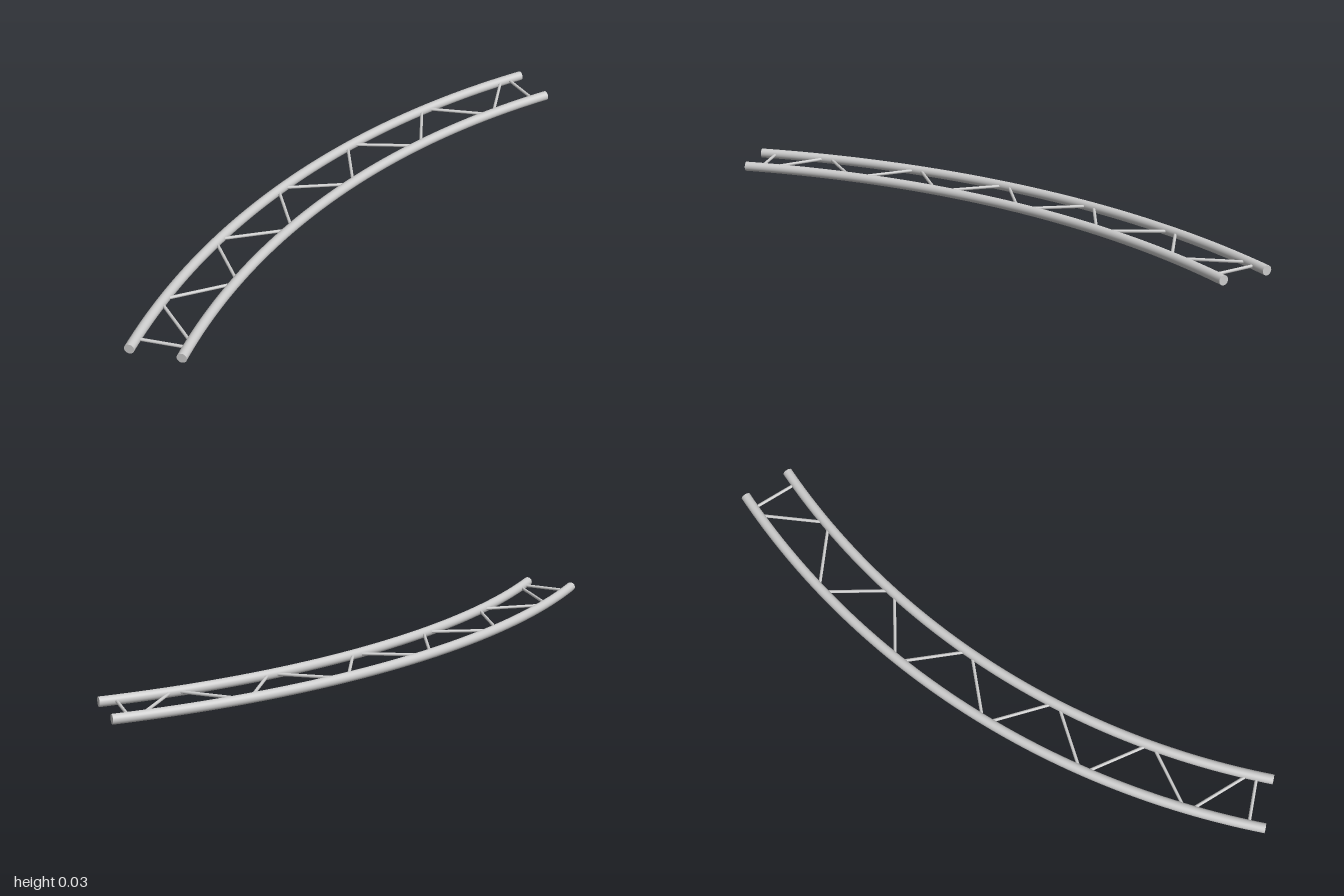
import * as THREE from 'three';

const TUBE = 0.017, ROD = 0.0055;        // radii of chords and bracing
const OUTER = 2.812, INNER = 2.64;       // bend radii of the two chords
const CX = 2.341, CZ = 1, SWEEP = Math.PI / 4;

// Point on the bend at a given radius and angle
const onArc = (r, a) => new THREE.Vector3(CX - r * Math.cos(a), TUBE, CZ - r * Math.sin(a));

class ArcCurve extends THREE.Curve {
  constructor(r) { super(); this.r = r; }
  getPoint(t, target = new THREE.Vector3()) { return target.copy(onArc(this.r, t * SWEEP)); }
}

export function createModel() {
  const group = new THREE.Group();
  const material = new THREE.MeshStandardMaterial({ color: 0xcccccc });
  const add = (name, geometry) => {
    const mesh = new THREE.Mesh(geometry, material);
    mesh.name = name;
    group.add(mesh);
    return mesh;
  };

  // Curved chord tube with flat closed ends
  const chord = (name, r) => {
    add(name, new THREE.TubeGeometry(new ArcCurve(r), 64, TUBE, 24, false));
    const disc = new THREE.CircleGeometry(TUBE, 24);
    add(name + 'FrontEnd', disc).position.copy(onArc(r, 0));
    const back = add(name + 'BackEnd', disc);
    back.position.copy(onArc(r, SWEEP));
    back.rotation.y = Math.PI - SWEEP;
  };
  chord('outerChord', OUTER);
  chord('innerChord', INNER);

  // Straight round rod between two points
  const rod = (name, a, b) => {
    const dir = b.clone().sub(a);
    const mesh = add(name, new THREE.CylinderGeometry(ROD, ROD, dir.length(), 12));
    mesh.position.copy(a).add(b).multiplyScalar(0.5);
    mesh.quaternion.setFromUnitVectors(new THREE.Vector3(0, 1, 0), dir.normalize());
  };

  // Rods end just inside the facing walls of the chords
  const ro = OUTER - 0.012, ri = INNER + 0.012;

  // Square rung near each end
  const inset = 0.056;
  for (const [name, a, s] of [['frontRung', 0, 1], ['backRung', SWEEP, -1]]) {
    const shift = new THREE.Vector3(Math.sin(a), 0, -Math.cos(a)).multiplyScalar(s * inset);
    rod(name, onArc(ro, a).add(shift), onArc(ri, a).add(shift));
  }

  // Zigzag bracing, with a small gap between rods at each node
  const count = 11, first = 0.028, gap = 0.0075;
  const step = (SWEEP - 2 * first) / count;
  for (let i = 0; i < count; i++) {
    const a = first + i * step + gap, b = first + (i + 1) * step - gap;
    const [r0, r1] = i % 2 ? [ro, ri] : [ri, ro];
    rod('diagonalBrace' + (i + 1), onArc(r0, a), onArc(r1, b));
  }
  return group;
}
